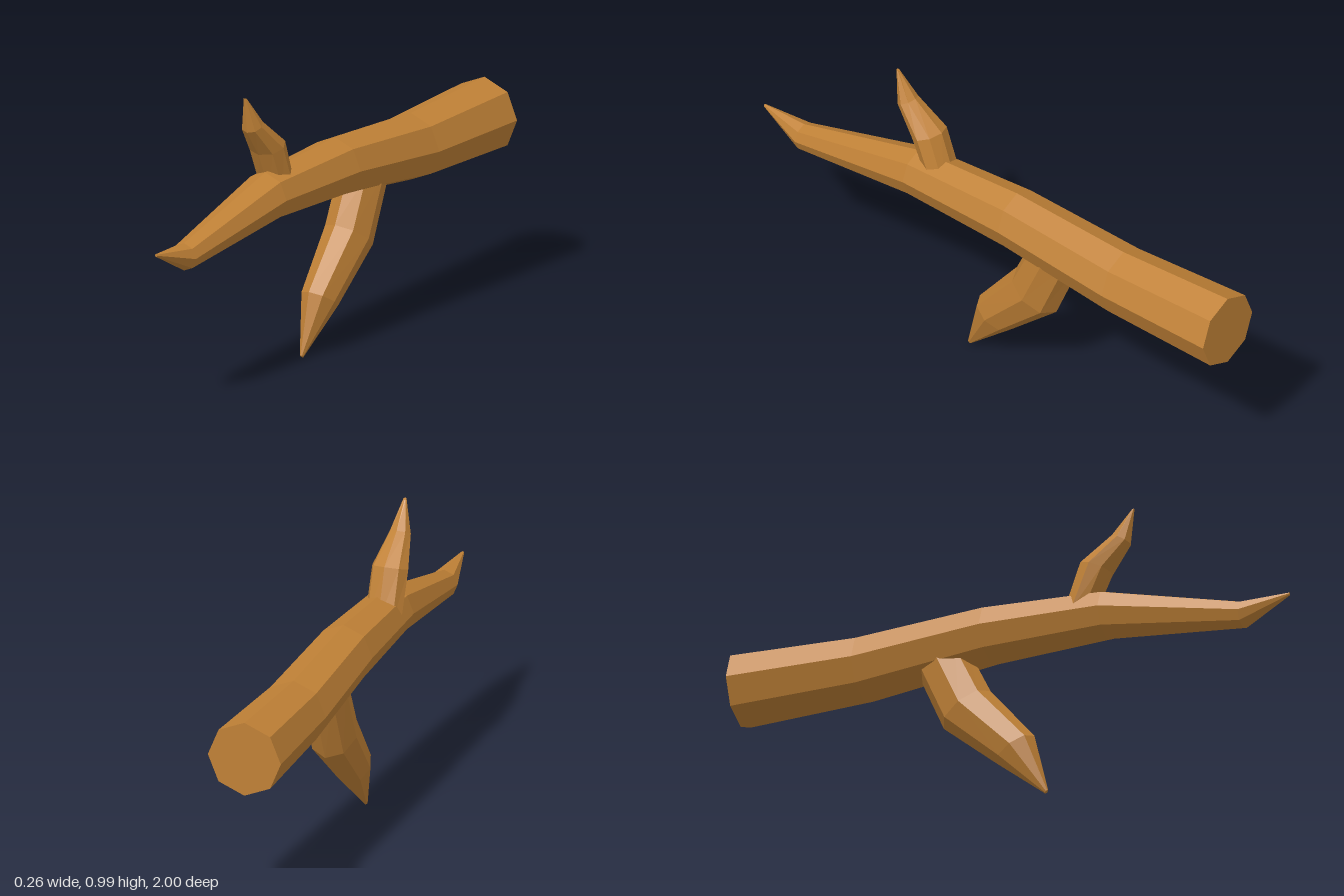
import * as THREE from 'three';

const SIDES = 8;
const wood = new THREE.MeshStandardMaterial({ color: 0xc08136, flatShading: true });

// Octagonal loft. Each ring is [y, z, y, z, halfWidth]: two opposite corners
// in the x = cx plane, plus the half width along x. Both ends are capped.
function loft(name, rings, cx = 0) {
  const pos = [], idx = [];
  const centre = ([ay, az, by, bz]) => [cx, (ay + by) / 2, (az + bz) / 2];
  for (const ring of rings) {
    const [ay, az, by, bz, w] = ring;
    const [, cy, cz] = centre(ring);
    for (let j = 0; j < SIDES; j++) {
      const t = (j / SIDES) * Math.PI * 2, c = Math.cos(t);
      pos.push(cx + w * Math.sin(t), cy + c * (ay - by) / 2, cz + c * (az - bz) / 2);
    }
  }
  const last = (rings.length - 1) * SIDES, capA = rings.length * SIDES, capB = capA + 1;
  pos.push(...centre(rings[0]), ...centre(rings[rings.length - 1]));
  for (let j = 0; j < SIDES; j++) {
    const k = (j + 1) % SIDES;
    for (let o = 0; o < last; o += SIDES) {
      idx.push(o + j, o + k, o + SIDES + k, o + j, o + SIDES + k, o + SIDES + j);
    }
    idx.push(capA, k, j, capB, last + j, last + k);
  }
  let geo = new THREE.BufferGeometry();
  geo.setAttribute('position', new THREE.Float32BufferAttribute(pos, 3));
  geo.setIndex(idx);
  geo = geo.toNonIndexed();
  geo.computeVertexNormals();
  const mesh = new THREE.Mesh(geo, wood);
  mesh.name = name;
  return mesh;
}

export function createModel() {
  const group = new THREE.Group();
  group.name = 'branch';

  // Main limb, from pointed front tip to the sawn back end: [z, centre y, radius]
  const limb = [
    [1, 0.58, 0.005], [0.83, 0.533, 0.048], [0.335, 0.62, 0.086],
    [-0.09, 0.62, 0.104], [-0.55, 0.577, 0.117], [-1, 0.577, 0.132],
  ].map(([z, y, r]) => [y + r, z, y - r, z, r]);
  group.add(loft('mainLimb', limb));

  // Large offshoot underneath, from tip up into the limb
  group.add(loft('lowerBranch', [
    [0.01, 0.12, 0, 0.108, 0.006],
    [0.22, 0.07, 0.14, -0.065, 0.06],
    [0.415, -0.09, 0.305, -0.26, 0.08],
    [0.57, -0.165, 0.56, -0.37, 0.08],
  ]));

  // Small offshoot on top, from inside the limb up to its tip
  group.add(loft('upperBranch', [
    [0.62, 0.285, 0.63, 0.185, 0.065],
    [0.77, 0.355, 0.81, 0.246, 0.065],
    [0.865, 0.425, 0.9, 0.36, 0.038],
    [0.99, 0.44, 0.985, 0.43, 0.006],
  ], -0.014));

  return group;
}
